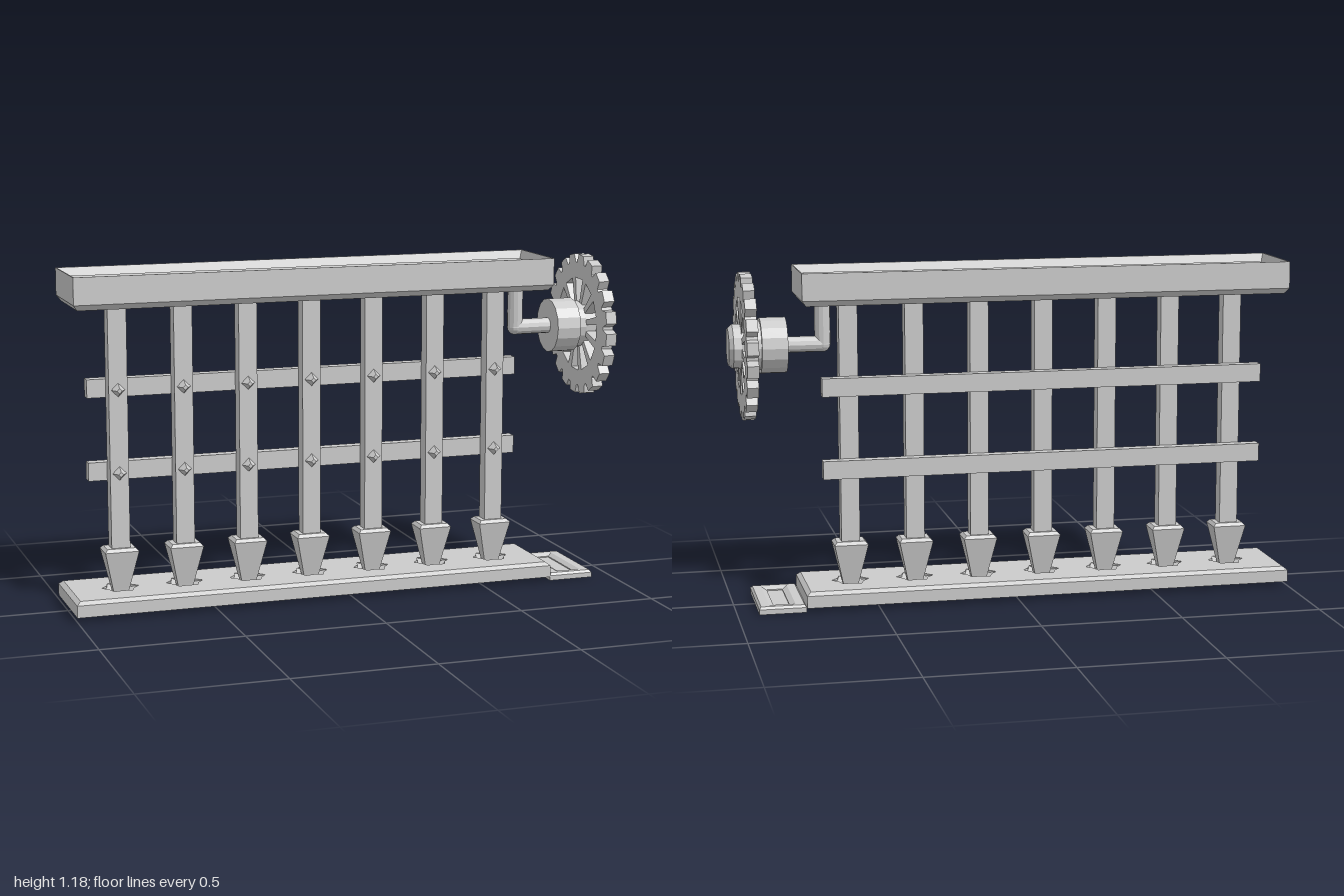
import * as THREE from 'three';

const material = new THREE.MeshStandardMaterial({ color: 0xcccccc, flatShading: true, side: THREE.DoubleSide });

function add(group, name, geometry, x = 0, y = 0, z = 0) {
  const mesh = new THREE.Mesh(geometry, material);
  mesh.name = name;
  mesh.position.set(x, y, z);
  group.add(mesh);
  return mesh;
}

// Stack of rectangular rings [halfX, halfZ, y], bottom first
function loft(rings, capped = true) {
  const corners = [[1, 1], [1, -1], [-1, -1], [-1, 1]];
  const pos = [], index = [];
  for (const [hx, hz, y] of rings) for (const [sx, sz] of corners) pos.push(sx * hx, y, sz * hz);
  const quad = (a, b, c, d) => index.push(a, b, c, a, c, d);
  for (let r = 0; r < rings.length - 1; r++) {
    for (let i = 0; i < 4; i++) {
      const a = r * 4 + i, b = r * 4 + (i + 1) % 4;
      quad(a, b, b + 4, a + 4);
    }
  }
  if (capped) {
    const t = (rings.length - 1) * 4;
    quad(0, 3, 2, 1);
    quad(t, t + 1, t + 2, t + 3);
  }
  const g = new THREE.BufferGeometry();
  g.setAttribute('position', new THREE.Float32BufferAttribute(pos, 3));
  g.setIndex(index);
  const flat = g.toNonIndexed();
  flat.computeVertexNormals();
  return flat;
}

const points = (list) => list.map(([x, y]) => new THREE.Vector2(x, y));
const rect = (hx, hy) => points([[-hx, -hy], [hx, -hy], [hx, hy], [-hx, hy]]);
const extrude = (shape, depth) => new THREE.ExtrudeGeometry(shape, { depth, bevelEnabled: false });

// Cylinder lying along x from x0 to x1
function axle(group, name, x0, x1, r0, r1, y, sides) {
  const g = new THREE.CylinderGeometry(r1, r0, x1 - x0, sides).rotateZ(-Math.PI / 2);
  return add(group, name, g, (x0 + x1) / 2, y, 0);
}

export function createModel() {
  const model = new THREE.Group();
  model.name = 'portcullis';
  const barX = Array.from({ length: 7 }, (_, i) => -0.813 + i * 0.2327);

  // Header beam: recessed below, raised panel inside a sunken rim above
  add(model, 'headerBeam', loft([
    [0.83, 0.104, 1.12], [0.838, 0.112, 1.07], [0.857, 0.133, 1.07], [0.872, 0.148, 1.09],
    [0.872, 0.148, 1.185], [0.868, 0.144, 1.185], [0.852, 0.125, 1.135],
    [0.838, 0.104, 1.135], [0.838, 0.104, 1.16],
  ]), -0.115);

  // Sill: chamfered hollow rim and a top plate with sockets
  const sillX = -0.121;
  add(model, 'sillRim', loft([
    [0.857, 0.139, 0.046], [0.857, 0.139, 0.015], [0.879, 0.161, 0.015],
    [0.879, 0.161, 0.058], [0.864, 0.146, 0.07],
  ], false), sillX);
  const plate = new THREE.Shape(rect(0.864, 0.146));
  for (const x of barX) {
    const star = Array.from({ length: 12 }, (_, i) => {
      const a = i * Math.PI / 6, r = i % 2 ? 0.05 : 0.066;
      return [x - sillX + r * Math.cos(a), r * Math.sin(a)];
    });
    plate.holes.push(new THREE.Path(points(star)));
  }
  add(model, 'sillPlate', extrude(plate, 0.024).rotateX(-Math.PI / 2), sillX, 0.046);
  const cup = new THREE.CylinderGeometry(0.066, 0.018, 0.024, 12, 1, true);

  // Floor plate beside the sill, with a sunken slot
  const slotted = new THREE.Shape(rect(0.083, 0.156));
  slotted.holes.push(new THREE.Path(rect(0.028, 0.115)));
  add(model, 'slotPlate', extrude(slotted, 0.018).rotateX(-Math.PI / 2), 0.842);
  add(model, 'slotPlateBevel', loft([
    [0.083, 0.156, 0.018], [0.076, 0.149, 0.027], [0.046, 0.13, 0.027], [0.028, 0.115, 0.016],
  ], false), 0.842);
  add(model, 'slotFloor', new THREE.BoxGeometry(0.056, 0.004, 0.23), 0.842, 0.012, 0);

  // Vertical bars with spikes standing in the sockets
  const spike = loft([
    [0.012, 0.008, 0.005], [0.03, 0.02, 0.07], [0.06, 0.047, 0.205], [0.05, 0.036, 0.216],
  ]);
  for (const x of barX) {
    add(model, 'bar', new THREE.BoxGeometry(0.066, 0.91, 0.052), x, 0.665, 0);
    add(model, 'spike', spike, x);
    add(model, 'socketCup', cup, x, 0.057, 0);
  }

  // Cross rails behind the bars, studs in front
  const stud = new THREE.CylinderGeometry(0.009, 0.025, 0.026, 4).rotateX(Math.PI / 2);
  for (const y of [0.482, 0.775]) {
    add(model, 'rail', new THREE.BoxGeometry(1.594, 0.065, 0.04), -0.115, y, -0.045);
    for (const x of barX) add(model, 'stud', stud, x, y, 0.038);
  }

  // Bent shaft and hub carrying the wheel
  const wheelY = 0.922;
  add(model, 'shaftDrop', new THREE.CylinderGeometry(0.028, 0.028, 0.198, 12), 0.67, 1.021, 0);
  add(model, 'shaftElbow', new THREE.SphereGeometry(0.0285, 12, 8), 0.67, wheelY, 0);
  axle(model, 'shaft', 0.67, 0.81, 0.028, 0.028, wheelY, 12);
  axle(model, 'hub', 0.8, 0.89, 0.098, 0.098, wheelY, 16);
  axle(model, 'hubCollar', 0.89, 0.918, 0.085, 0.085, wheelY, 16);

  // Toothed wheel with windows between its spokes
  const teeth = 20, step = 2 * Math.PI / teeth, outline = [];
  for (let i = 0; i < teeth; i++) {
    for (const [t, r] of [[-0.42, 0.226], [-0.27, 0.257], [0.27, 0.257], [0.42, 0.226]]) {
      const a = 0.1 + (i + t) * step;
      outline.push([r * Math.cos(a), r * Math.sin(a)]);
    }
  }
  const wheel = new THREE.Shape(points(outline));
  const windows = 12;
  for (let i = 0; i < windows; i++) {
    const a = 1.64 + i * 2 * Math.PI / windows, c = Math.cos(a), s = Math.sin(a);
    const trapezoid = [[0.08, -0.012], [0.168, -0.03], [0.168, 0.03], [0.08, 0.012]];
    wheel.holes.push(new THREE.Path(points(trapezoid.map(([u, v]) => [u * c - v * s, u * s + v * c]))));
  }
  add(model, 'gearWheel', extrude(wheel, 0.04).rotateY(Math.PI / 2), 0.917, wheelY, 0);

  // Chamfered end cap
  axle(model, 'wheelCap', 0.957, 0.985, 0.078, 0.078, wheelY, 12);
  axle(model, 'wheelCapFace', 0.985, 1.0, 0.078, 0.065, wheelY, 12);

  return model;
}
